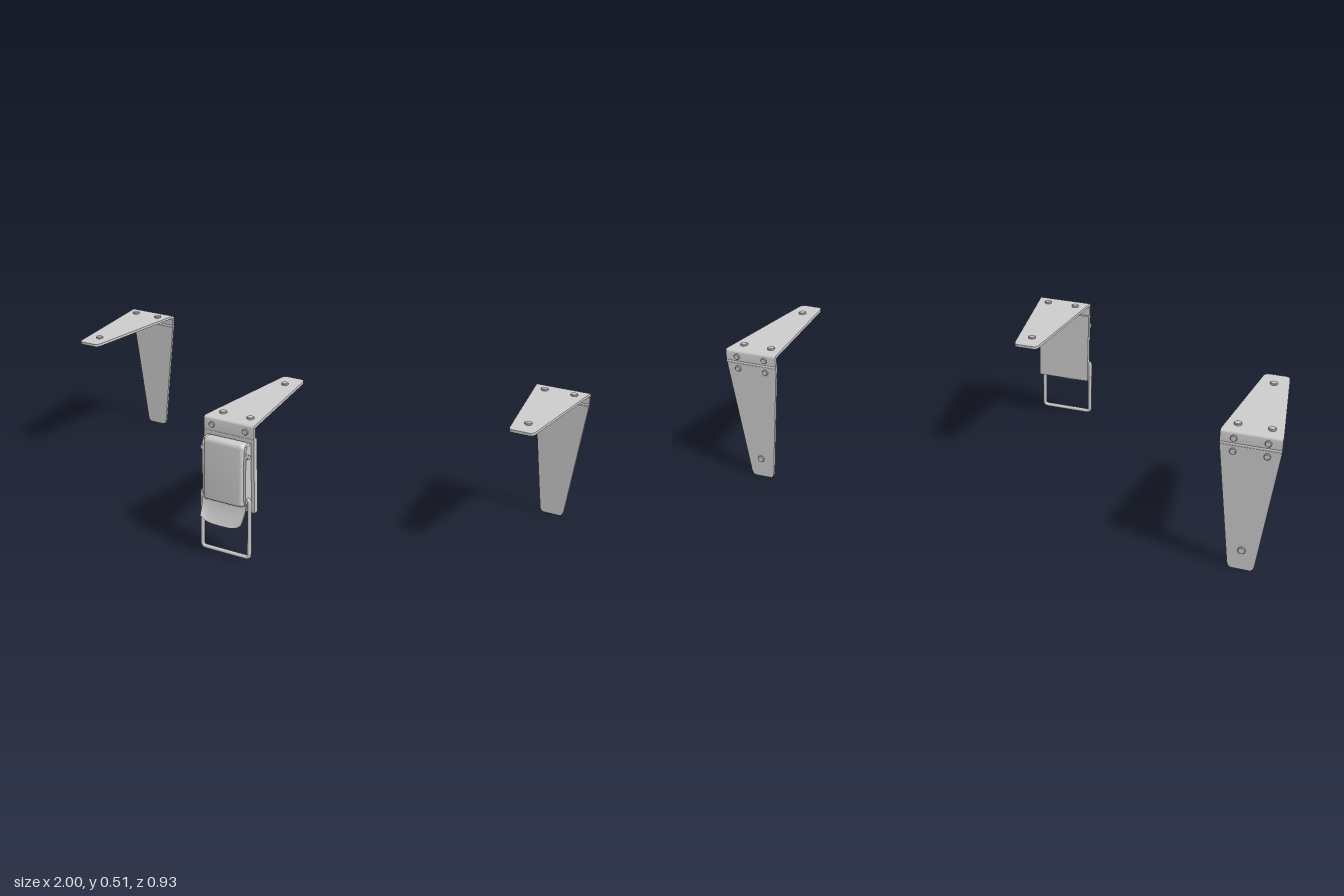
import * as THREE from 'three';
import { RoundedBoxGeometry } from 'three/addons/geometries/RoundedBoxGeometry.js';
import { toCreasedNormals } from 'three/addons/utils/BufferGeometryUtils.js';

const mat = new THREE.MeshStandardMaterial({ color: 0xcccccc });
const sheetMat = new THREE.MeshStandardMaterial({ color: 0xcccccc, side: THREE.DoubleSide });
const TOP = 0.507, THICK = 0.01, HALF = 0.1;

function add(parent, name, geometry, x = 0, y = 0, z = 0, material = mat) {
  const mesh = new THREE.Mesh(geometry, material);
  mesh.name = name;
  mesh.position.set(x, y, z);
  parent.add(mesh);
  return mesh;
}

// Tapered sheet: wide edge at y = 0, rounded narrow end at y = -length
function taperGeometry(length) {
  const end = 0.043;
  const s = new THREE.Shape();
  s.moveTo(-HALF, 0);
  s.lineTo(-end - 0.003, -length + 0.02);
  s.quadraticCurveTo(-end, -length, -end + 0.015, -length);
  s.lineTo(end - 0.015, -length);
  s.quadraticCurveTo(end, -length, end + 0.003, -length + 0.02);
  s.lineTo(HALF, 0);
  s.closePath();
  return new THREE.ExtrudeGeometry(s, { depth: THICK, bevelEnabled: false, curveSegments: 6 });
}

// Low domed rivet, axis along +y, base at the origin
function rivetGeometry(r = 0.013, h = 0.007) {
  const profile = [[r, 0], [r, h * 0.65], [r * 0.85, h * 0.95], [0, h]].map(p => new THREE.Vector2(...p));
  return toCreasedNormals(new THREE.LatheGeometry(profile, 20), 0.6);
}

function rivetOut(parent, x, y, z, r) {
  add(parent, 'rivet', rivetGeometry(r), x, y, z).rotation.x = Math.PI / 2;
}

// Angle bracket: tapered top plate, rounded bend and a short hanging flange facing +z
function bracket(length, flangeBottom) {
  const g = new THREE.Group();
  add(g, 'topPlate', taperGeometry(length - 0.012), 0, TOP, -0.012).rotation.x = Math.PI / 2;
  g.children[0].rotation.x = Math.PI / 2;
  g.children[0].scale.y = 1;

  const s = new THREE.Shape();
  s.moveTo(-0.012, TOP);
  s.quadraticCurveTo(0, TOP, 0, TOP - 0.012);
  s.lineTo(0, flangeBottom);
  s.lineTo(-THICK, flangeBottom);
  s.lineTo(-THICK, TOP - THICK);
  s.lineTo(-0.012, TOP - THICK);
  s.closePath();
  const bend = new THREE.ExtrudeGeometry(s, { depth: HALF * 2, bevelEnabled: false, curveSegments: 6 });
  bend.rotateY(-Math.PI / 2);
  add(g, 'flange', toCreasedNormals(bend, 0.6), HALF, 0, 0);

  for (const x of [-0.055, 0.055]) add(g, 'rivet', rivetGeometry(), x, TOP, -0.054);
  add(g, 'rivet', rivetGeometry(), 0, TOP, -length + 0.074);
  return g;
}

// Hinge: bracket, knuckle and hanging leaf
function hinge(x) {
  const g = bracket(0.457, 0.466);
  g.name = 'hinge';
  add(g, 'leaf', taperGeometry(0.457), 0, 0.457, -THICK - 0.001);
  add(g, 'knuckle', new THREE.CylinderGeometry(0.006, 0.006, HALF * 2, 16), 0, 0.461, -0.005).rotation.z = Math.PI / 2;
  for (const rx of [-0.055, 0.055]) {
    rivetOut(g, rx, 0.484, 0, 0.011);
    rivetOut(g, rx, 0.437, -0.001, 0.011);
  }
  rivetOut(g, 0, 0.075, -0.001, 0.013);
  g.position.set(x, 0, -0.457);
  g.rotation.y = Math.PI;
  return g;
}

// Straight runs joined by rounded corners
function roundedPath(points, r) {
  const path = new THREE.CurvePath();
  let from = points[0];
  for (let i = 1; i < points.length; i++) {
    const p = points[i], next = points[i + 1];
    if (!next) {
      path.add(new THREE.LineCurve3(from, p));
      break;
    }
    const a = p.clone().add(points[i - 1].clone().sub(p).setLength(r));
    const b = p.clone().add(next.clone().sub(p).setLength(r));
    path.add(new THREE.LineCurve3(from, a));
    path.add(new THREE.QuadraticBezierCurve3(a, p, b));
    from = b;
  }
  return path;
}

// Bent lifting tab, curving outward toward a rounded lower edge
function tabGeometry() {
  const geo = new THREE.BoxGeometry(0.176, 1, 0.005, 14, 12, 1);
  const p = geo.attributes.position;
  for (let i = 0; i < p.count; i++) {
    const x = p.getX(i), t = 0.5 - p.getY(i);
    const edge = Math.pow(Math.abs(x) / 0.088, 4);
    p.setY(i, 0.218 - 0.085 * t + 0.022 * edge * t);
    p.setZ(i, p.getZ(i) + 0.437 + 0.028 * Math.pow(t, 1.5));
    p.setX(i, x * (1 - 0.06 * t * t));
  }
  geo.computeVertexNormals();
  return geo;
}

function latch() {
  const g = bracket(0.465, 0.455);
  g.name = 'latch';
  g.position.z = 0.4;
  for (const x of [-0.067, 0.067]) rivetOut(g, x, 0.48, 0, 0.011);

  const body = new THREE.Group();
  body.name = 'latchBody';
  body.position.z = -0.4;
  g.add(body);
  add(body, 'backPlate', new THREE.BoxGeometry(HALF * 2, 0.279, 0.021), 0, 0.3175, 0.3905);

  // Lever cover, deeper toward its lower end
  const cover = new RoundedBoxGeometry(0.16, 0.226, 0.05, 4, 0.012);
  const p = cover.attributes.position;
  for (let i = 0; i < p.count; i++) {
    const z = p.getZ(i) + 0.025, down = 0.5 - p.getY(i) / 0.226;
    p.setZ(i, z * (0.84 + 0.22 * down));
    p.setY(i, p.getY(i) - 0.15 * z * (0.3 + down * 0.7));
  }
  cover.computeVertexNormals();
  add(body, 'leverCover', toCreasedNormals(cover, 0.7), 0, 0.333, 0.4);

  // Side cheeks that carry the pivot pin
  const s = new THREE.Shape();
  [[0.4, 0.222], [0.43, 0.216], [0.441, 0.235], [0.434, 0.42], [0.425, 0.437], [0.4, 0.441]]
    .forEach(([z, y], i) => (i ? s.lineTo(-z, y) : s.moveTo(-z, y)));
  s.closePath();
  for (const side of [-1, 1]) {
    const cheek = new THREE.ExtrudeGeometry(s, { depth: 0.012, bevelEnabled: false });
    cheek.rotateY(Math.PI / 2);
    add(body, 'cheek', cheek, side * 0.082 - 0.006, 0, 0);
  }
  add(body, 'pivotPin', new THREE.CylinderGeometry(0.009, 0.009, 0.19, 20), 0, 0.4, 0.425).rotation.z = Math.PI / 2;
  add(body, 'liftTab', tabGeometry(), 0, 0, 0, sheetMat);

  // Wire bail hooked into both cheeks
  const v = (x, y, z) => new THREE.Vector3(x, y, z);
  const path = roundedPath([
    v(-0.08, 0.24, 0.426), v(-0.096, 0.24, 0.426), v(-0.096, 0.018, 0.435),
    v(0.096, 0.018, 0.435), v(0.096, 0.24, 0.426), v(0.08, 0.24, 0.426),
  ], 0.014);
  add(body, 'wireBail', new THREE.TubeGeometry(path, 160, 0.0075, 10));
  return g;
}

export function createModel() {
  const model = new THREE.Group();
  model.name = 'caseHardware';
  model.add(hinge(-0.9), hinge(0.9), latch());
  return model;
}
